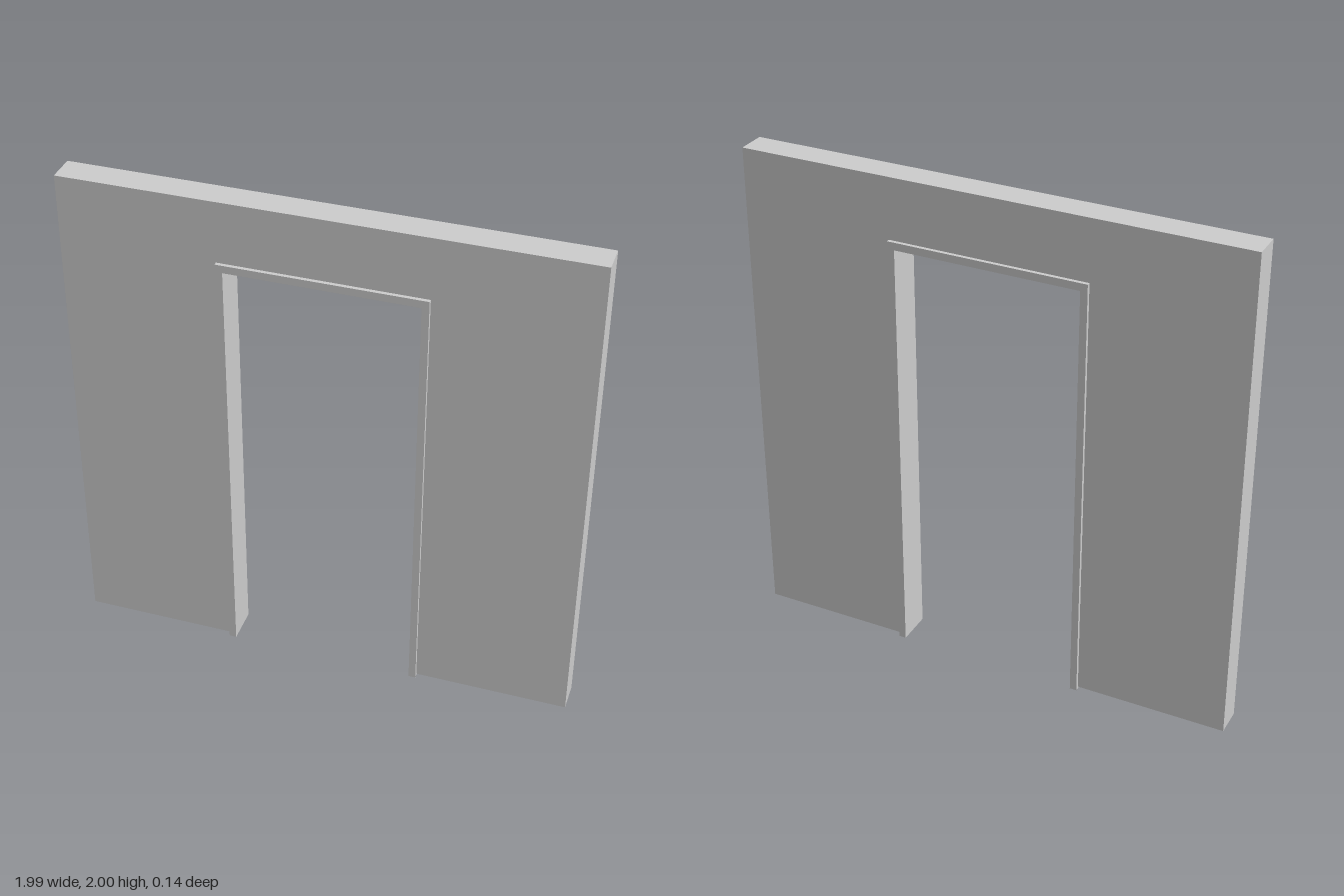
import * as THREE from 'three';

const material = new THREE.MeshStandardMaterial({ color: 0xcccccc, flatShading: true });

// Upside-down U: an outer rectangle with a doorway cut up from its bottom edge
function portal(name, outerX, innerX, bottom, innerTop, outerTop, depth) {
  const shape = new THREE.Shape([
    [-outerX, bottom], [-innerX, bottom], [-innerX, innerTop], [innerX, innerTop],
    [innerX, bottom], [outerX, bottom], [outerX, outerTop], [-outerX, outerTop],
  ].map(([x, y]) => new THREE.Vector2(x, y)));
  const geometry = new THREE.ExtrudeGeometry(shape, { depth, bevelEnabled: false });
  geometry.translate(0, 0, -depth / 2);
  const mesh = new THREE.Mesh(geometry, material);
  mesh.name = name;
  return mesh;
}

export function createModel() {
  const model = new THREE.Group();
  model.name = 'wallWithDoorway';
  // Wall slab, ending just above the floor
  model.add(portal('wall', 0.995, 0.393, 0.008, 1.757, 2, 0.115));
  // Door frame lining the opening, standing slightly proud on both faces
  model.add(portal('doorFrame', 0.393, 0.365, 0, 1.727, 1.757, 0.144));
  return model;
}
